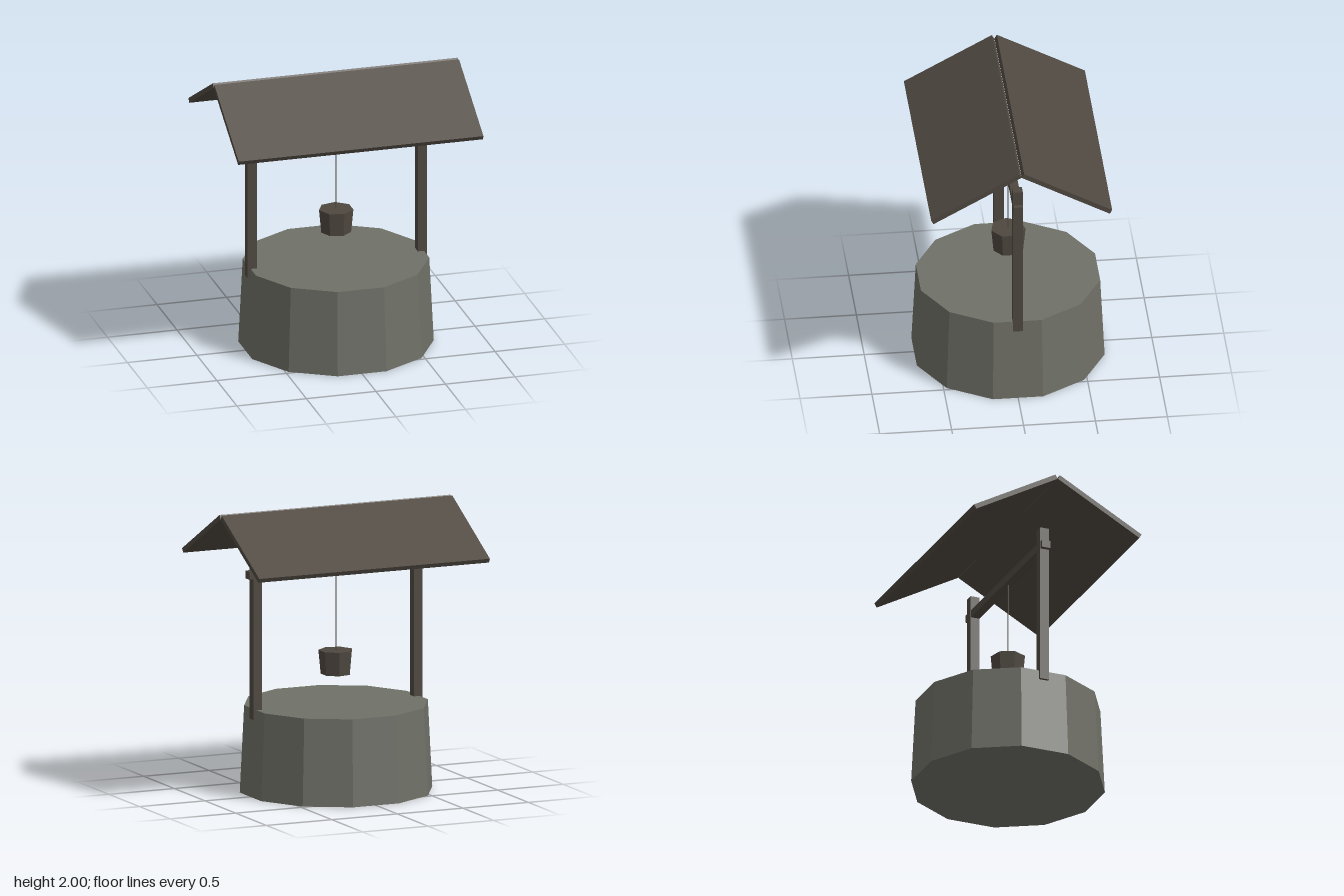
import * as THREE from 'three';

export function createModel() {
  const model = new THREE.Group();
  model.name = 'well';

  const stone = new THREE.MeshStandardMaterial({ color: 0x6f7067, flatShading: true });
  stone.name = 'stone';
  const wood = new THREE.MeshStandardMaterial({ color: 0x4f4840, flatShading: true });
  wood.name = 'wood';

  function add(name, geometry, material, x, y, z) {
    const mesh = new THREE.Mesh(geometry, material);
    mesh.name = name;
    mesh.position.set(x, y, z);
    model.add(mesh);
    return mesh;
  }

  // Twelve-sided tapered base, with a flat side to the front
  add('stoneBase', new THREE.CylinderGeometry(0.645, 0.676, 0.613, 12, 1, false, Math.PI / 12),
    stone, 0, 0.3065, 0);

  // Posts and the crossbeam they carry
  for (const side of [1, -1]) {
    add(side > 0 ? 'leftPost' : 'rightPost', new THREE.BoxGeometry(0.066, 1.15, 0.068),
      wood, side * 0.612, 1.12, 0);
  }
  add('crossbeam', new THREE.BoxGeometry(1.352, 0.055, 0.062), wood, 0, 1.562, 0);

  // Rope and seven-sided bucket
  add('rope', new THREE.CylinderGeometry(0.005, 0.005, 0.6, 6), wood, 0, 1.25, 0);
  add('bucket', new THREE.CylinderGeometry(0.122, 0.106, 0.168, 7, 1, false, -Math.PI / 2),
    wood, 0, 0.898, 0);

  // Two sloping roof boards that meet at the ridge
  const slope = THREE.MathUtils.degToRad(29);
  for (const side of [1, -1]) {
    const board = add(side > 0 ? 'frontRoof' : 'backRoof',
      new THREE.BoxGeometry(1.76, 0.034, 0.7), wood, 0, 1.815, side * 0.315);
    board.rotation.x = side * slope;
  }

  return model;
}
